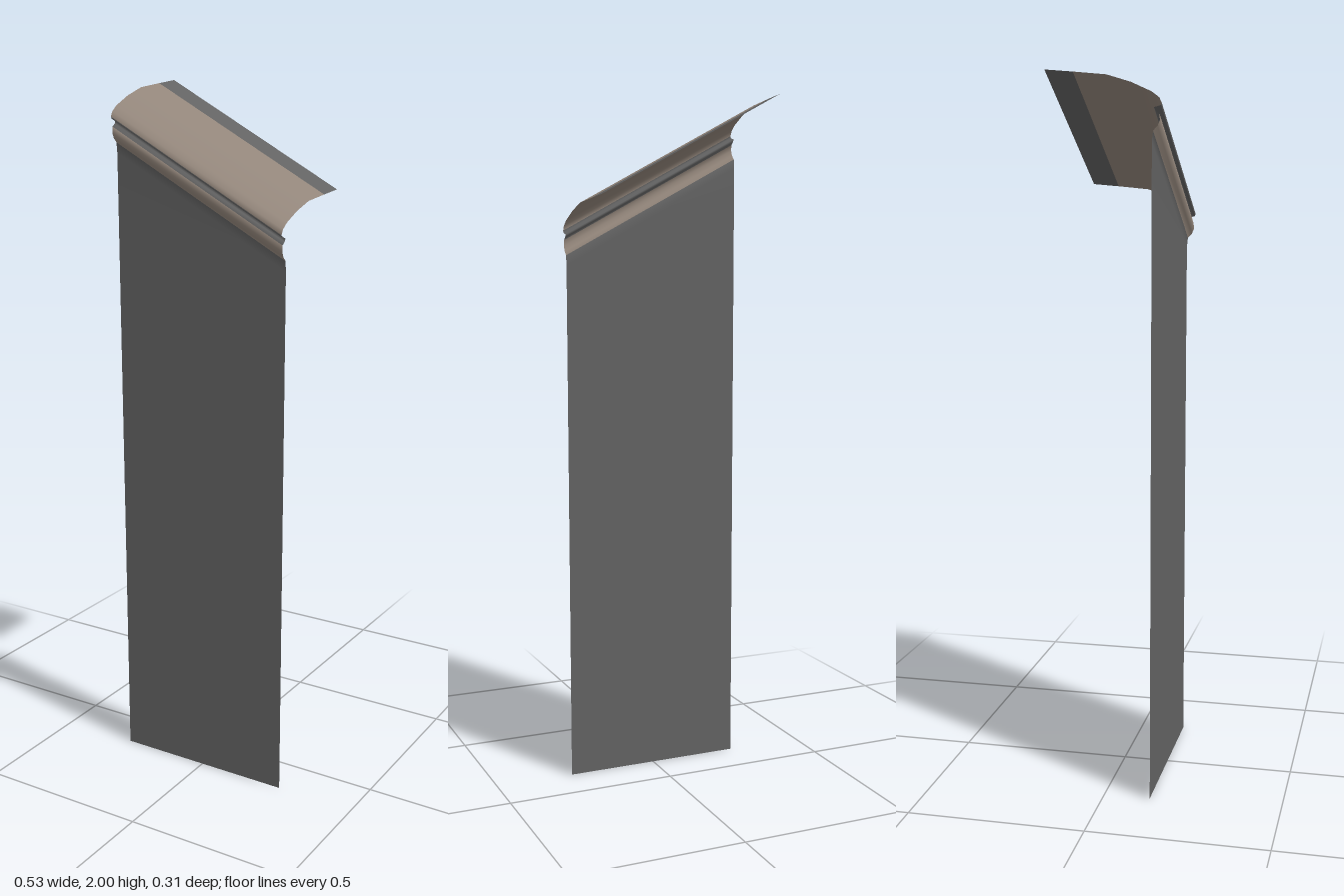
import * as THREE from 'three';

const HALF = 0.267;   // half width of the sheet
const RISE = 0.1425;  // height gained at the right end, lost at the left end

// Cross-section at mid width, from the rear edge of the hood down to the foot: [z, y]
const PROFILE = [
  [-0.157, 1.858], [-0.08, 1.851], [0.01, 1.842], [0.075, 1.822], [0.13, 1.797], [0.15, 1.782], [0.157, 1.768],
  [0.154, 1.762], [0.136, 1.757], [0.14, 1.749], [0.151, 1.741],
  [0.152, 1.724], [0.146, 1.71], [0.134, 1.698],
  [0.131, 1.67], [0.131, 1.5], [0.131, 0],
];

export function createModel() {
  const group = new THREE.Group();
  const grey = new THREE.MeshStandardMaterial({ color: 0x626262, side: THREE.DoubleSide });
  grey.name = 'dark grey';
  const tan = new THREE.MeshStandardMaterial({ color: 0x92857a, side: THREE.DoubleSide });
  tan.name = 'warm taupe';

  // Quads between consecutive profile rows
  const rows = (from, to) => {
    const index = [];
    for (let i = from; i < to; i++) {
      const a = 2 * i;
      index.push(a, a + 2, a + 1, a + 1, a + 2, a + 3);
    }
    return index;
  };

  // Whole sheet, sheared along its width, with a level foot
  const positions = [];
  for (const [z, y] of PROFILE) {
    const rise = y === 0 ? 0 : RISE;
    positions.push(-HALF, y + rise, z, HALF, y - rise, z);
  }
  const sheet = new THREE.BufferGeometry();
  sheet.setAttribute('position', new THREE.Float32BufferAttribute(positions, 3));
  sheet.setIndex(rows(0, PROFILE.length - 1));
  sheet.computeVertexNormals();

  // Each part takes its rows and keeps the smooth normals of the whole
  const addPart = (name, from, to, material) => {
    const geometry = sheet.clone();
    geometry.setIndex(rows(from, to));
    const mesh = new THREE.Mesh(geometry, material);
    mesh.name = name;
    group.add(mesh);
  };

  addPart('hoodRearStrip', 0, 1, grey);
  addPart('hood', 1, 6, tan);
  addPart('groove', 6, 10, grey);
  addPart('bead', 10, 13, tan);
  addPart('panel', 13, PROFILE.length - 1, grey);

  return group;
}
